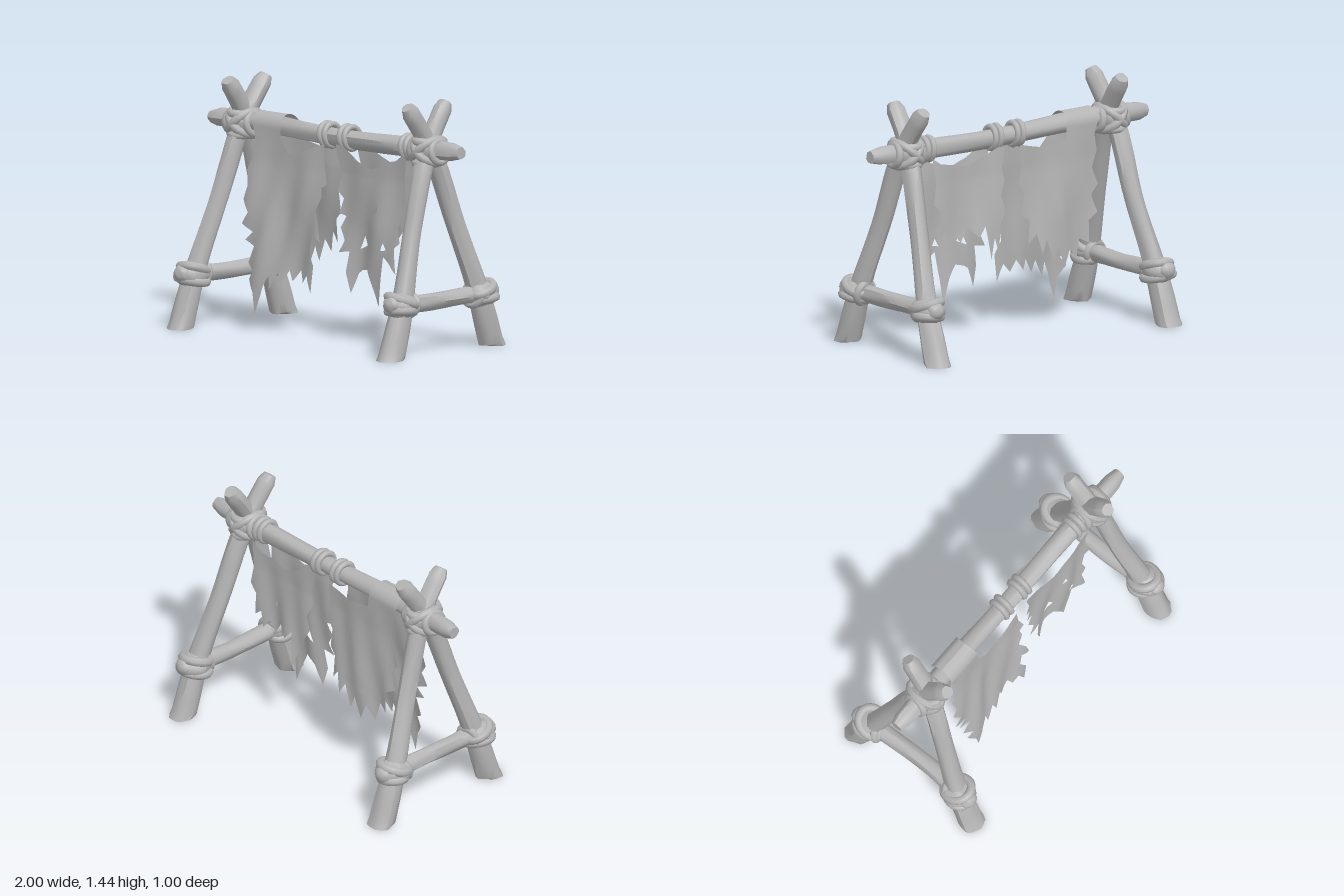
import * as THREE from 'three';
import { mergeVertices, toCreasedNormals } from 'three/addons/utils/BufferGeometryUtils.js';

const V = (x, y, z) => new THREE.Vector3(x, y, z);

export function createModel() {
  const model = new THREE.Group();
  const grey = new THREE.MeshStandardMaterial({ color: 0xb4b4b4, side: THREE.DoubleSide });
  grey.name = 'plain grey';

  const add = (parent, name, geometry) => {
    const mesh = new THREE.Mesh(geometry, grey);
    mesh.name = name;
    parent.add(mesh);
    return mesh;
  };

  // Gnarled log swept along a path, with worn tips; radii are spread evenly from start to end
  function log(parent, name, points, radii, seed) {
    const curve = new THREE.CatmullRomCurve3(points);
    const g = new THREE.CylinderGeometry(1, 1, 1, 16, 28);
    const p = g.attributes.position;
    for (let i = 0; i < p.count; i++) {
      const t = THREE.MathUtils.clamp(p.getY(i) + 0.5, 0, 1);
      const x = p.getX(i), z = p.getZ(i), a = Math.atan2(z, x);
      const tan = curve.getTangent(t);
      const ref = Math.abs(tan.x) > 0.7 ? V(0, 0, 1) : V(1, 0, 0);
      const u = ref.addScaledVector(tan, -ref.dot(tan)).normalize();
      const v = u.clone().cross(tan);
      const f = t * (radii.length - 1), k = Math.min(Math.floor(f), radii.length - 2);
      let r = THREE.MathUtils.lerp(radii[k], radii[k + 1], f - k);
      r *= 1 + 0.05 * Math.sin(3 * a + 9 * t + seed) + 0.05 * Math.sin(6 * a - 5 * t + seed * 2);
      if (t > 0.99 || (t < 0.01 && points[0].y > 0)) r *= 0.7;
      const q = curve.getPoint(t).addScaledVector(u, x * r).addScaledVector(v, z * r);
      p.setXYZ(i, q.x, Math.max(0, q.y), q.z);
    }
    return add(parent, name, toCreasedNormals(g, 0.8));
  }

  // Binding loop facing along a direction, stretched to fit
  function loop(parent, name, pos, dir, rx, ry, tube) {
    const m = add(parent, name, new THREE.TorusGeometry(1, tube / Math.max(rx, ry), 8, 24));
    m.scale.set(rx, ry, Math.max(rx, ry));
    m.position.copy(pos);
    m.lookAt(pos.clone().add(dir));
    return m;
  }

  // Uneven wad of wrapped binding
  function lump(parent, name, pos, sx, sy, sz) {
    const g = new THREE.SphereGeometry(1, 20, 14);
    const p = g.attributes.position;
    for (let i = 0; i < p.count; i++) {
      const [x, y, z] = [p.getX(i), p.getY(i), p.getZ(i)];
      const k = 1 + 0.06 * Math.sin(5 * x + 4 * y) * Math.cos(4 * z + pos.x * 9);
      p.setXYZ(i, x * sx * k, y * sy * k, z * sz * k);
    }
    g.computeVertexNormals();
    add(parent, name, g).position.copy(pos);
  }

  // Crossbeam
  log(model, 'crossbeam', [V(-1, 1.165, 0), V(-0.6, 1.175, 0), V(0, 1.155, 0.005), V(0.5, 1.16, 0), V(1, 1.17, 0)],
    [0.05, 0.054, 0.057, 0.056, 0.053, 0.052, 0.053, 0.055, 0.057, 0.054, 0.05], 1);

  // A-frames at both ends
  for (const s of [-1, 1]) {
    const frame = new THREE.Group();
    frame.name = s < 0 ? 'rightFrame' : 'leftFrame';
    model.add(frame);
    for (const d of [-1, 1]) {
      const o = d * 0.006;
      log(frame, d > 0 ? 'frontLeg' : 'backLeg', [
        V(s * 0.84, -0.04, d * 0.428), V(s * 0.83, 0.32, d * 0.308), V(s * 0.78, 0.72, d * 0.172),
        V(s * 0.75 + o, 1.08, d * 0.058), V(s * 0.733 + o, 1.22, -d * 0.01), V(s * 0.72 + o, 1.42, -d * 0.15),
      ], [0.074, 0.071, 0.062, 0.055, 0.053, 0.055, 0.056, 0.055, 0.054, 0.053, 0.052], s * 2 + d);

      // Lashing where the tie bar meets the leg
      const k = V(s * 0.835, 0.305, d * 0.325);
      lump(frame, 'lowerKnot', k, 0.094, 0.078, 0.108);
      loop(frame, 'legWrapUpper', k.clone().add(V(0, 0.03, -d * 0.008)), V(0.1 * s, 1, -d * 0.35), 0.076, 0.084, 0.028);
      loop(frame, 'legWrapLower', k.clone().add(V(0, -0.03, d * 0.004)), V(-0.12 * s, 1, -d * 0.1), 0.074, 0.084, 0.027);
      loop(frame, 'barWrap', k.clone().add(V(0, 0, -d * 0.06)), V(0.2, 0.25, 1), 0.06, 0.058, 0.024);
      lump(frame, 'barEnd', k.clone().add(V(s * 0.005, 0.012, d * 0.075)), 0.055, 0.052, 0.048);
    }
    log(frame, 'tieBar', [V(s * 0.84, 0.31, -0.43), V(s * 0.82, 0.3, 0), V(s * 0.84, 0.31, 0.43)],
      [0.045, 0.05, 0.047, 0.048, 0.05, 0.045], s + 4);

    // Lashing at the top crossing
    const c = V(s * 0.74, 1.16, 0);
    lump(frame, 'topKnot', c, 0.1, 0.088, 0.106);
    for (const d of [-1, 1]) {
      loop(frame, 'crossWrap', c, V(d, 1, 0), 0.1, 0.095, 0.026);
      loop(frame, 'beamWrap', c.clone().add(V(d * 0.085, 0, 0)), V(1, d * 0.15, 0.1), 0.06, 0.06, 0.023);
    }
    loop(frame, 'lowerBinding', c.clone().add(V(0, -0.062, 0)), V(0, 1, 0.05), 0.068, 0.092, 0.024);
    loop(frame, 'upperBinding', c.clone().add(V(0, 0.052, 0)), V(0, 1, -0.06), 0.066, 0.092, 0.024);
  }

  // Cloth ties around the beam
  for (const x of [-0.075, -0.035, 0.085, 0.125, 0.575, 0.615])
    loop(model, 'clothTie', V(x, 1.163, 0), V(1, 0.06, 0.08), 0.059, 0.063, 0.018);

  // Ragged cloth sheet: outline, split finely, then bent over the beam and rippled
  function cloth(name, outline, holes, side, slope) {
    const toPts = (a) => a.map(([x, y]) => new THREE.Vector2(x, y));
    const shape = new THREE.Shape(toPts(outline));
    holes.forEach((h) => shape.holes.push(new THREE.Path(toPts(h))));
    const flat = new THREE.ShapeGeometry(shape).toNonIndexed().attributes.position;
    let tris = [];
    for (let i = 0; i < flat.count; i += 3)
      tris.push([0, 1, 2].map((j) => new THREE.Vector3().fromBufferAttribute(flat, i + j)));
    for (let n = 0; n < 4; n++)
      tris = tris.flatMap(([a, b, c]) => {
        const ab = a.clone().lerp(b, 0.5), bc = b.clone().lerp(c, 0.5), ca = c.clone().lerp(a, 0.5);
        return [[a, ab, ca], [ab, b, bc], [ca, bc, c], [ab, bc, ca]];
      });
    const pts = tris.flat().map(({ x, y }) => {
      const drop = Math.max(0, 1.165 - y), up = Math.max(0, y - 1.165);
      const wave = Math.min(1, drop * 2) * (0.016 * Math.sin(13 * x + 3 * y) + 0.008 * Math.sin(31 * x - 7 * y));
      return V(x, y, side * (Math.sqrt(Math.max(0, 0.0064 - up * up)) - 0.012 * Math.min(1, drop * 5) + slope * drop) + wave);
    });
    const g = mergeVertices(new THREE.BufferGeometry().setFromPoints(pts), 1e-4);
    g.computeVertexNormals();
    add(model, name, g);
  }

  cloth('wideClothFront', [
    [-0.6, 1.19], [-0.595, 1.245], [-0.385, 1.245], [-0.37, 1.2], [-0.37, 1.11], [-0.3, 1.03], [-0.2, 1.05],
    [-0.08, 1.1], [-0.02, 1.12], [-0.01, 0.99], [0.02, 0.89], [-0.02, 0.87], [-0.01, 0.81], [-0.05, 0.74], [-0.01, 0.66], [0.01, 0.56],
    [-0.05, 0.6], [-0.07, 0.5], [-0.03, 0.42], [-0.05, 0.26], [-0.09, 0.36], [-0.13, 0.31], [-0.16, 0.38], [-0.22, 0.31],
    [-0.24, 0.37], [-0.3, 0.28], [-0.32, 0.35], [-0.38, 0.25], [-0.39, 0.33], [-0.43, 0.25], [-0.44, 0.21], [-0.48, 0.1],
    [-0.5, 0.22], [-0.55, 0.29], [-0.51, 0.34], [-0.57, 0.38], [-0.52, 0.48], [-0.6, 0.51], [-0.54, 0.56], [-0.63, 0.6],
    [-0.58, 0.67], [-0.63, 0.74], [-0.6, 0.82], [-0.62, 0.91], [-0.58, 0.99], [-0.57, 1.1]], [], 1, 0.1);

  cloth('wideClothBack', [
    [-0.6, 1.19], [-0.595, 1.245], [-0.385, 1.245], [-0.37, 1.2], [-0.36, 1.1], [-0.2, 1.07], [-0.03, 1.11],
    [-0.04, 0.98], [-0.02, 0.88], [-0.06, 0.82], [-0.04, 0.7], [-0.09, 0.66], [-0.08, 0.52], [-0.13, 0.58], [-0.16, 0.46],
    [-0.2, 0.53], [-0.25, 0.4], [-0.28, 0.48], [-0.33, 0.36], [-0.37, 0.46], [-0.43, 0.38], [-0.46, 0.5], [-0.52, 0.47],
    [-0.52, 0.6], [-0.59, 0.64], [-0.55, 0.74], [-0.6, 0.8], [-0.56, 0.9], [-0.59, 1.0], [-0.57, 1.1]], [], -1, 0.05);

  cloth('narrowClothFront', [
    [0.07, 1.13], [0.13, 1.12], [0.24, 1.05], [0.35, 1.01], [0.41, 1.03], [0.5, 1.05], [0.6, 1.12], [0.63, 1.1], [0.61, 0.98],
    [0.62, 0.88], [0.65, 0.77], [0.6, 0.78], [0.57, 0.7], [0.59, 0.61], [0.55, 0.58], [0.57, 0.43], [0.52, 0.48],
    [0.46, 0.52], [0.43, 0.36], [0.41, 0.22], [0.36, 0.35], [0.32, 0.43], [0.27, 0.42], [0.24, 0.4], [0.19, 0.28],
    [0.16, 0.4], [0.18, 0.52], [0.1, 0.51], [0.14, 0.58], [0.1, 0.65], [0.14, 0.72], [0.09, 0.73], [0.12, 0.82],
    [0.08, 0.86], [0.11, 0.95], [0.09, 1.03]],
  [[[0.38, 0.77], [0.42, 0.77], [0.41, 0.81]], [[0.25, 0.54], [0.32, 0.57], [0.29, 0.62]], [[0.43, 0.55], [0.48, 0.56], [0.46, 0.6]]], 1, 0.02);

  cloth('narrowClothBack', [
    [0.08, 1.12], [0.14, 1.12], [0.35, 1.04], [0.55, 1.08], [0.61, 1.12], [0.59, 0.97], [0.61, 0.85], [0.56, 0.8],
    [0.57, 0.66], [0.52, 0.7], [0.5, 0.6], [0.46, 0.66], [0.41, 0.6], [0.36, 0.68], [0.3, 0.62], [0.25, 0.68],
    [0.22, 0.48], [0.18, 0.6], [0.15, 0.5], [0.14, 0.68], [0.1, 0.75], [0.13, 0.84], [0.09, 0.92], [0.11, 1.0]],
  [[[0.38, 0.77], [0.42, 0.77], [0.41, 0.81]]], -1, 0.07);

  return model;
}
